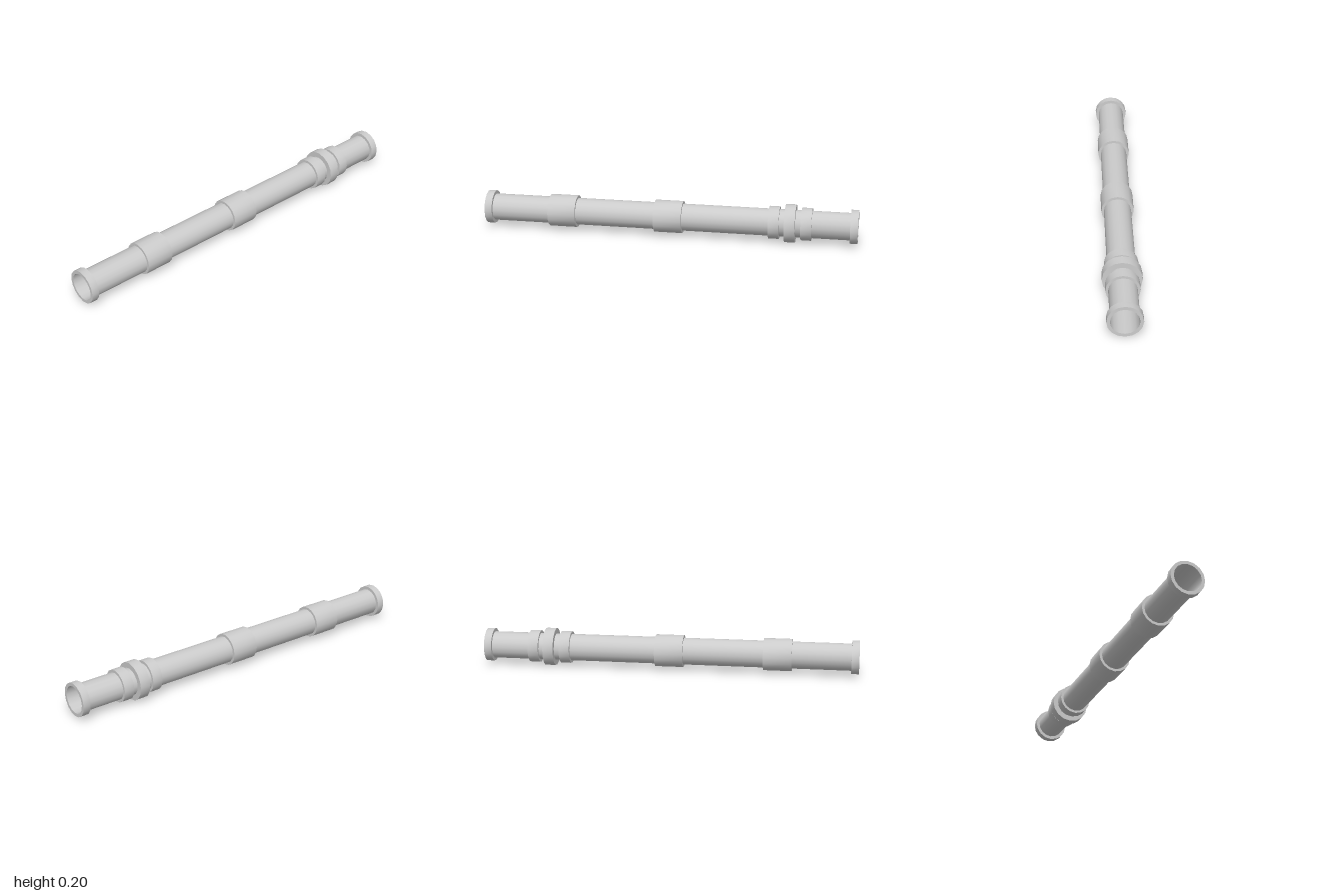
import * as THREE from 'three';
import { toCreasedNormals } from 'three/addons/utils/BufferGeometryUtils.js';

const SIDES = 16;
const BORE = 0.072;
const CENTRE_Y = 0.101;

export function createModel() {
  const group = new THREE.Group();
  const material = new THREE.MeshStandardMaterial({ color: 0xcccccc, side: THREE.DoubleSide });

  // Turns a (radius, z) profile around the pipe axis, smooth around and sharp at the rims
  function turned(name, profile) {
    const points = profile.map(([r, z]) => new THREE.Vector2(r, z));
    const geometry = toCreasedNormals(new THREE.LatheGeometry(points, SIDES), 0.6);
    geometry.rotateX(Math.PI / 2);
    const mesh = new THREE.Mesh(geometry, material);
    mesh.name = name;
    mesh.position.y = CENTRE_Y;
    group.add(mesh);
  }

  // Collar with flat end faces sitting on the pipe
  function collar(name, radius, z, length) {
    const a = z - length / 2, b = z + length / 2;
    turned(name, [[BORE, a], [radius, a], [radius, b], [BORE, b]]);
  }

  // Thin open pipe
  turned('pipe', [[BORE, -1], [BORE, 1]]);

  // End flanges
  collar('frontFlange', 0.089, 0.98, 0.04);
  collar('backFlange', 0.089, -0.98, 0.04);

  // Wide sleeves
  collar('frontSleeve', 0.086, 0.575, 0.15);
  collar('middleSleeve', 0.086, 0, 0.15);

  // Coupling made of three narrow rings
  collar('couplingRingFront', 0.086, -0.562, 0.056);
  collar('couplingRingMiddle', 0.101, -0.647, 0.056);
  collar('couplingRingBack', 0.086, -0.732, 0.056);

  return group;
}
